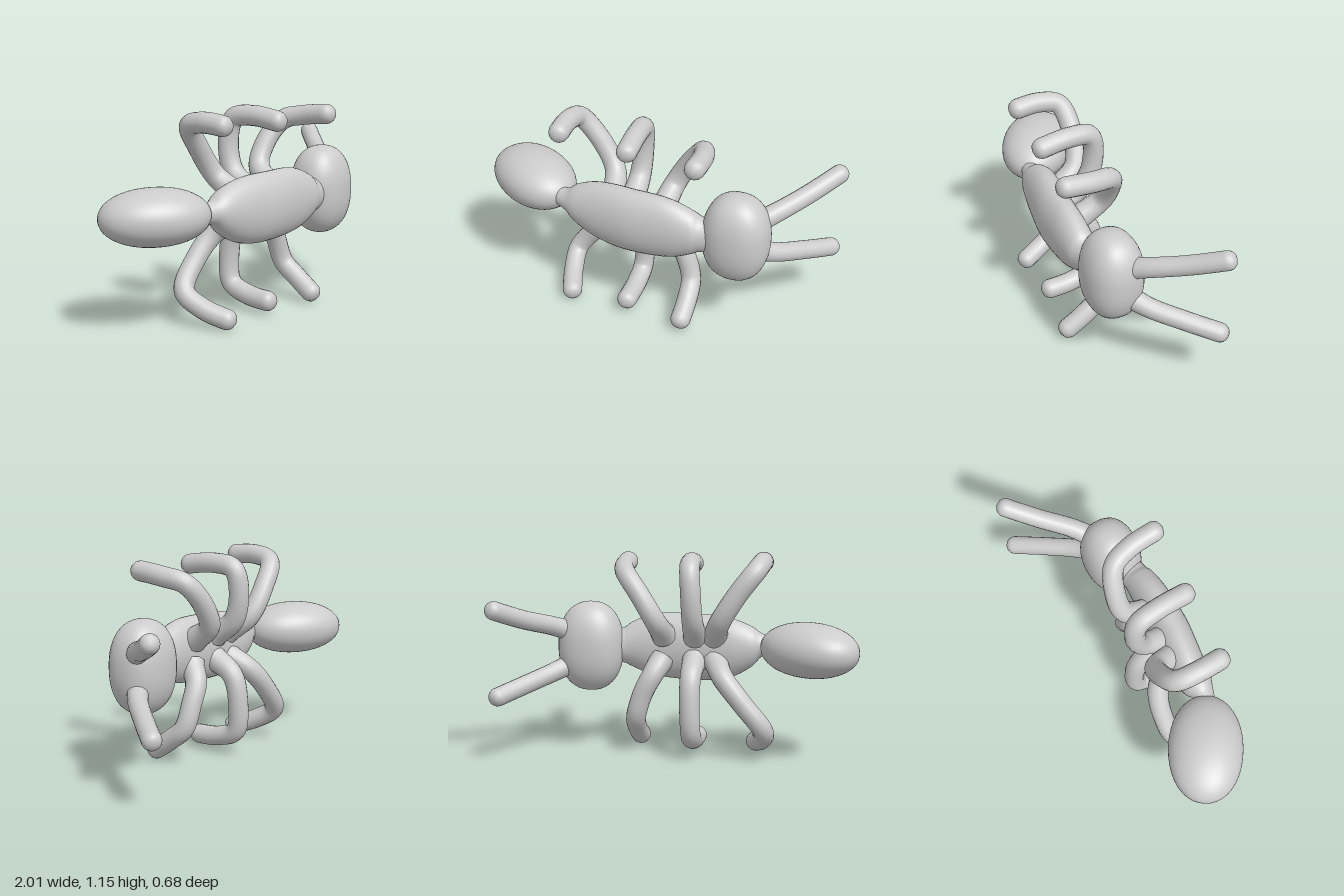
import * as THREE from 'three';
import { mergeVertices } from 'three/addons/utils/BufferGeometryUtils.js';

const material = new THREE.MeshStandardMaterial({ color: 0xcccccc });

// Weld seams and shade smoothly.
function smoothMesh(geometry, name) {
  geometry.deleteAttribute('uv');
  geometry.deleteAttribute('normal');
  const welded = mergeVertices(geometry, 1e-5);
  welded.computeVertexNormals();
  const mesh = new THREE.Mesh(welded, material);
  mesh.name = name;
  return mesh;
}

// Ellipsoid whose exponent makes it fuller (above 2) than a plain one.
function blob(name, center, radii, exponent = 2, yaw = 0) {
  const geometry = new THREE.SphereGeometry(1, 40, 28);
  const p = geometry.attributes.position;
  const v = new THREE.Vector3();
  for (let i = 0; i < p.count; i++) {
    v.fromBufferAttribute(p, i);
    const sum = [v.x, v.y, v.z].reduce((s, c) => s + Math.abs(c) ** exponent, 0);
    v.multiplyScalar(sum ** (-1 / exponent));
    p.setXYZ(i, v.x, v.y, v.z);
  }
  geometry.scale(...radii).rotateY(yaw).translate(...center);
  return smoothMesh(geometry, name);
}

// Oval sections along x: [x, y, z, half height, half depth].
function loft(name, sections) {
  const spline = (f) => new THREE.CatmullRomCurve3(sections.map(f), false, 'catmullrom');
  const centers = spline((s) => new THREE.Vector3(s[0], s[1], s[2]));
  const sizes = spline((s) => new THREE.Vector3(s[3], s[4], 0));
  const geometry = new THREE.CylinderGeometry(1, 1, 1, 32, 48).rotateZ(-Math.PI / 2);
  const p = geometry.attributes.position;
  for (let i = 0; i < p.count; i++) {
    const t = THREE.MathUtils.clamp(p.getX(i) + 0.5, 0, 1);
    const c = centers.getPoint(t), s = sizes.getPoint(t);
    p.setXYZ(i, c.x, c.y + p.getY(i) * s.x, c.z + p.getZ(i) * s.y);
  }
  return smoothMesh(geometry, name);
}

// Curved limb with a flared root and a rounded tip.
function limb(name, points, radius, flare = 0.3) {
  const curve = new THREE.CatmullRomCurve3(points.map((q) => new THREE.Vector3(...q)));
  const rings = 64, sides = 16, length = curve.getLength();
  const geometry = new THREE.TubeGeometry(curve, rings, radius, sides);
  const p = geometry.attributes.position;
  const v = new THREE.Vector3();
  for (let i = 0; i < p.count; i++) {
    const t = Math.floor(i / (sides + 1)) / rings;
    const c = curve.getPointAt(t);
    const fromTip = Math.min(1, (1 - t) * length / radius);
    const k = Math.sqrt(1 - (1 - fromTip) ** 2) * (1 + flare * Math.exp(-t * 8));
    v.fromBufferAttribute(p, i).sub(c).multiplyScalar(k).add(c);
    p.setXYZ(i, v.x, v.y, v.z);
  }
  return smoothMesh(geometry, name);
}

export function createModel() {
  const model = new THREE.Group();
  model.name = 'ant';

  // Body
  model.add(
    blob('abdomen', [-0.73, 0.64, -0.01], [0.293, 0.15, 0.2], 2.1, -0.56),
    loft('thorax', [
      [-0.54, 0.64, 0.12, 0.05, 0.05],
      [-0.46, 0.635, 0.14, 0.065, 0.06],
      [-0.40, 0.625, 0.14, 0.115, 0.085],
      [-0.30, 0.615, 0.145, 0.163, 0.1],
      [-0.18, 0.61, 0.16, 0.187, 0.105],
      [-0.05, 0.61, 0.175, 0.19, 0.107],
      [0.10, 0.615, 0.182, 0.185, 0.1],
      [0.20, 0.615, 0.183, 0.165, 0.095],
      [0.29, 0.615, 0.18, 0.127, 0.086],
      [0.34, 0.61, 0.17, 0.1, 0.08],
      [0.44, 0.61, 0.15, 0.1, 0.08],
    ]),
    blob('head', [0.515, 0.61, 0.12], [0.185, 0.255, 0.16], 2.3),
  );

  // Antennae
  model.add(
    limb('upperAntenna', [[0.58, 0.68, 0.1], [0.7, 0.735, 0.0], [0.83, 0.79, -0.15], [0.985, 0.875, -0.33]], 0.052),
    limb('lowerAntenna', [[0.58, 0.53, 0.1], [0.7, 0.475, 0.0], [0.83, 0.425, -0.15], [0.975, 0.37, -0.33]], 0.052),
  );

  // Legs: hip, thigh, knee, shin, foot
  const legs = {
    upperRearLeg: [[-0.2, 0.68, 0.1], [-0.24, 0.78, -0.03], [-0.34, 0.94, -0.06], [-0.44, 1.07, -0.03], [-0.46, 1.1, 0.08], [-0.455, 1.09, 0.265]],
    upperMiddleLeg: [[-0.09, 0.68, 0.1], [-0.09, 0.78, -0.03], [-0.085, 0.94, -0.07], [-0.075, 1.07, -0.04], [-0.065, 1.095, 0.08], [-0.055, 1.07, 0.3]],
    upperFrontLeg: [[0.09, 0.68, 0.11], [0.12, 0.78, -0.02], [0.2, 0.92, -0.03], [0.285, 1.03, 0.02], [0.32, 1.06, 0.13], [0.33, 1.085, 0.34]],
    lowerRearLeg: [[-0.2, 0.55, 0.1], [-0.26, 0.47, -0.02], [-0.37, 0.34, -0.06], [-0.485, 0.19, -0.04], [-0.47, 0.11, 0.08], [-0.405, 0.05, 0.255]],
    lowerMiddleLeg: [[-0.085, 0.55, 0.1], [-0.08, 0.47, -0.03], [-0.08, 0.32, -0.07], [-0.085, 0.15, -0.05], [-0.085, 0.1, 0.06], [-0.085, 0.085, 0.26]],
    lowerFrontLeg: [[0.1, 0.55, 0.12], [0.15, 0.46, 0.05], [0.205, 0.35, 0.04], [0.245, 0.22, 0.06], [0.255, 0.14, 0.15], [0.25, 0.04, 0.295]],
  };
  for (const [name, points] of Object.entries(legs)) model.add(limb(name, points, 0.056));

  return model;
}
